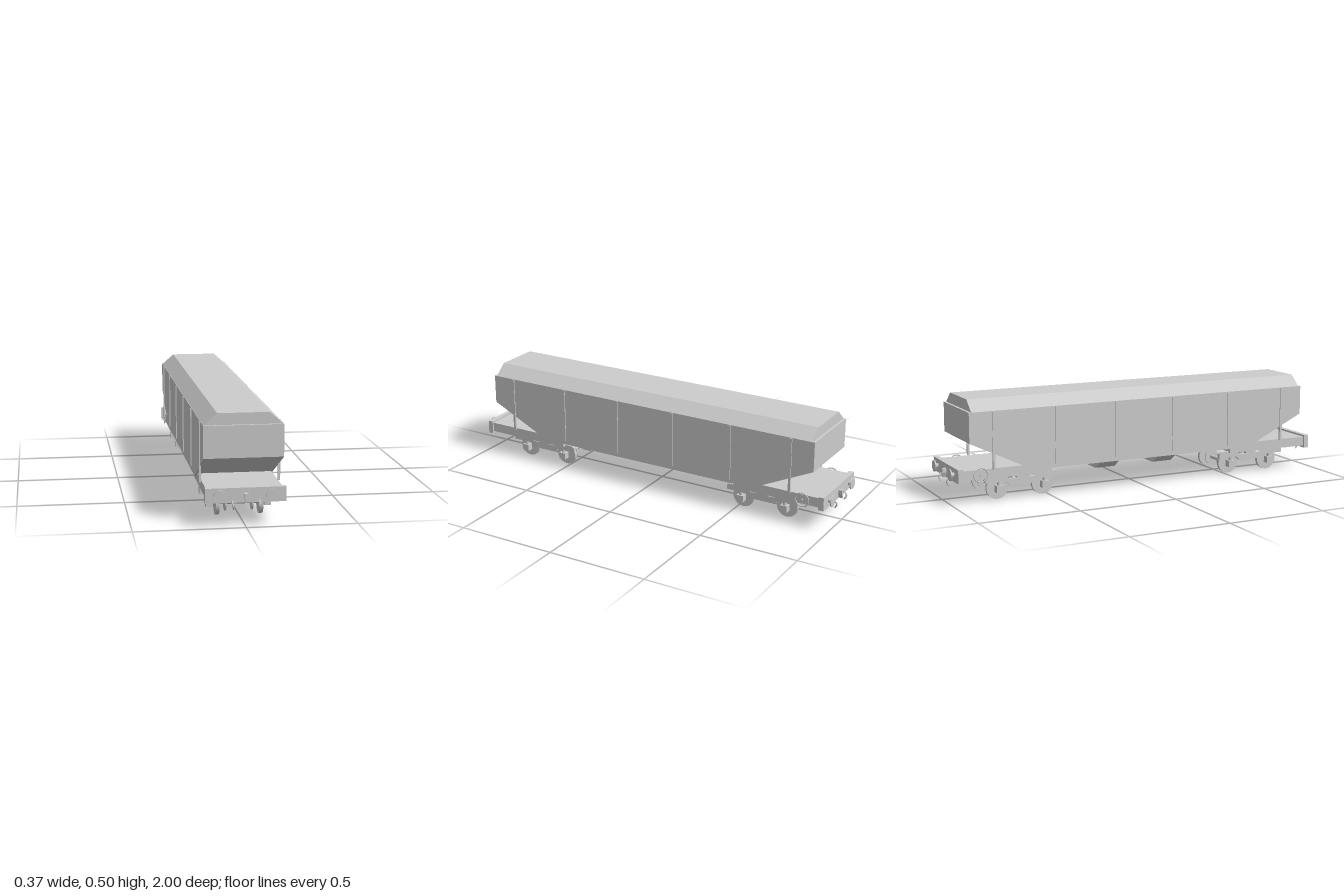
import * as THREE from 'three';

export function createModel() {
  const wagon = new THREE.Group();
  wagon.name = 'hopperWagon';
  const grey = new THREE.MeshStandardMaterial({ color: 0xcccccc });
  grey.name = 'light grey';

  const add = (parent, name, geometry, x = 0, y = 0, z = 0) => {
    const mesh = new THREE.Mesh(geometry, grey);
    mesh.name = name;
    mesh.position.set(x, y, z);
    parent.add(mesh);
    return mesh;
  };
  // Box given by its limits on each axis
  const box = (parent, name, x0, x1, y0, y1, z0, z1) =>
    add(parent, name, new THREE.BoxGeometry(x1 - x0, y1 - y0, z1 - z0),
      (x0 + x1) / 2, (y0 + y1) / 2, (z0 + z1) / 2);
  // Cylinder lying along x or z
  const rod = (parent, name, axis, r, length, x, y, z, sides = 24) => {
    const g = new THREE.CylinderGeometry(r, r, length, sides);
    if (axis === 'x') g.rotateZ(Math.PI / 2);
    else g.rotateX(Math.PI / 2);
    return add(parent, name, g, x, y, z);
  };
  // Profile of [x, y] points extruded along z, centred
  const prismZ = (points, depth) => {
    const shape = new THREE.Shape(points.map(p => new THREE.Vector2(...p)));
    return new THREE.ExtrudeGeometry(shape, { depth, bevelEnabled: false })
      .translate(0, 0, -depth / 2);
  };
  // Profile of [z, y] points extruded along x, centred
  const prismX = (points, width) =>
    prismZ(points.map(([z, y]) => [-z, y]), width).rotateY(Math.PI / 2);

  // Hopper body with sloping ends, and the roof
  add(wagon, 'hopperBody', prismX([
    [-0.6, 0.142], [0.6, 0.142], [0.92, 0.295], [0.92, 0.442],
    [-0.92, 0.442], [-0.92, 0.295],
  ], 0.36));
  add(wagon, 'roof', prismZ([
    [-0.178, 0.442], [0.178, 0.442], [0.117, 0.495], [-0.117, 0.495],
  ], 1.815));

  // Side ribs; the outer ones run on down as posts
  for (const s of [-1, 1]) {
    for (const z of [-0.8, -0.48, -0.16, 0.16, 0.48, 0.8]) {
      const x = s * 0.18;
      box(wagon, 'sideRib', x - 0.005, x + 0.005, 0.162, 0.44, z - 0.006, z + 0.006);
    }
  }

  // Centre sill and discharge chutes
  box(wagon, 'centreSill', -0.02, 0.02, 0.116, 0.146, -0.95, 0.95);
  for (const z of [-0.16, 0.162]) {
    add(wagon, 'dischargeChute', prismZ([
      [-0.135, 0.143], [-0.05, 0.087], [0.05, 0.087], [0.135, 0.143],
    ], 0.105), 0, 0, z);
  }

  // Wagon ends: platform, sills, buffers, coupling and hoses
  function createEnd() {
    const end = new THREE.Group();
    end.name = 'wagonEnd';
    box(end, 'platform', -0.172, 0.172, 0.15, 0.166, 0.55, 0.955);
    box(end, 'bufferBeam', -0.18, 0.18, 0.108, 0.175, 0.952, 0.978);
    box(end, 'bolster', -0.13, 0.13, 0.112, 0.15, 0.61, 0.67);
    add(end, 'couplingHook', prismZ([
      [-0.009, 0.152], [-0.009, 0.132], [0, 0.109], [0.009, 0.132], [0.009, 0.152],
    ], 0.02), 0, 0, 0.988);
    for (const s of [-1, 1]) {
      const x = s * 0.162;
      box(end, 'sideSill', x - 0.009, x + 0.009, 0.118, 0.15, 0.5, 0.955);
      rod(end, 'bufferShank', 'z', 0.011, 0.02, s * 0.117, 0.142, 0.986);
      rod(end, 'bufferHead', 'z', 0.028, 0.006, s * 0.117, 0.142, 0.997);
      const path = new THREE.CatmullRomCurve3([
        [0.062, 0.118, 0.976], [0.06, 0.11, 0.99], [0.058, 0.098, 0.994], [0.054, 0.08, 0.984],
      ].map(([px, py, pz]) => new THREE.Vector3(s * px, py, pz)));
      add(end, 'brakeHose', new THREE.TubeGeometry(path, 10, 0.004, 8));
    }
    return end;
  }

  // Four-wheeled bogie
  function createBogie() {
    const bogie = new THREE.Group();
    bogie.name = 'bogie';
    for (const s of [-1, 1]) {
      // Side frame, dropped in the middle
      add(bogie, 'sideFrame', prismX([
        [-0.19, 0.09], [-0.09, 0.09], [-0.065, 0.07], [0.065, 0.07], [0.09, 0.09],
        [0.19, 0.09], [0.19, 0.112], [0.178, 0.12], [0.09, 0.12], [0.065, 0.102],
        [-0.065, 0.102], [-0.09, 0.12], [-0.178, 0.12], [-0.19, 0.112],
      ], 0.02), s * 0.134);
      box(bogie, 'sideBearing', s * 0.134 - 0.012, s * 0.134 + 0.012, 0.1, 0.12, -0.03, 0.03);
    }
    box(bogie, 'crossBeam', -0.13, 0.13, 0.08, 0.1, -0.035, 0.035);
    for (const z of [-0.1175, 0.1175]) {
      rod(bogie, 'axle', 'x', 0.01, 0.25, 0, 0.056, z, 16);
      for (const s of [-1, 1]) {
        rod(bogie, 'wheel', 'x', 0.055, 0.016, s * 0.1, 0.055, z, 32);
        rod(bogie, 'brakeDisc', 'x', 0.038, 0.006, s * 0.062, 0.055, z);
        const x = s * 0.134;
        box(bogie, 'axleBox', x - 0.016, x + 0.016, 0.039, 0.073, z - 0.018, z + 0.018);
        add(bogie, 'spring', new THREE.CylinderGeometry(0.01, 0.01, 0.024, 16), x, 0.082, z);
      }
    }
    return bogie;
  }

  for (const s of [-1, 1]) {
    const end = createEnd();
    if (s < 0) end.rotation.y = Math.PI;
    const bogie = createBogie();
    bogie.position.z = s * 0.642;
    wagon.add(end, bogie);
  }

  // Handbrake wheels at the back
  for (const s of [-1, 1]) {
    const ring = new THREE.TorusGeometry(0.034, 0.003, 8, 32).rotateY(Math.PI / 2);
    add(wagon, 'brakeWheel', ring, s * 0.174, 0.139, -0.865);
    rod(wagon, 'brakeWheelHub', 'x', 0.005, 0.012, s * 0.172, 0.139, -0.865, 12);
  }
  return wagon;
}
